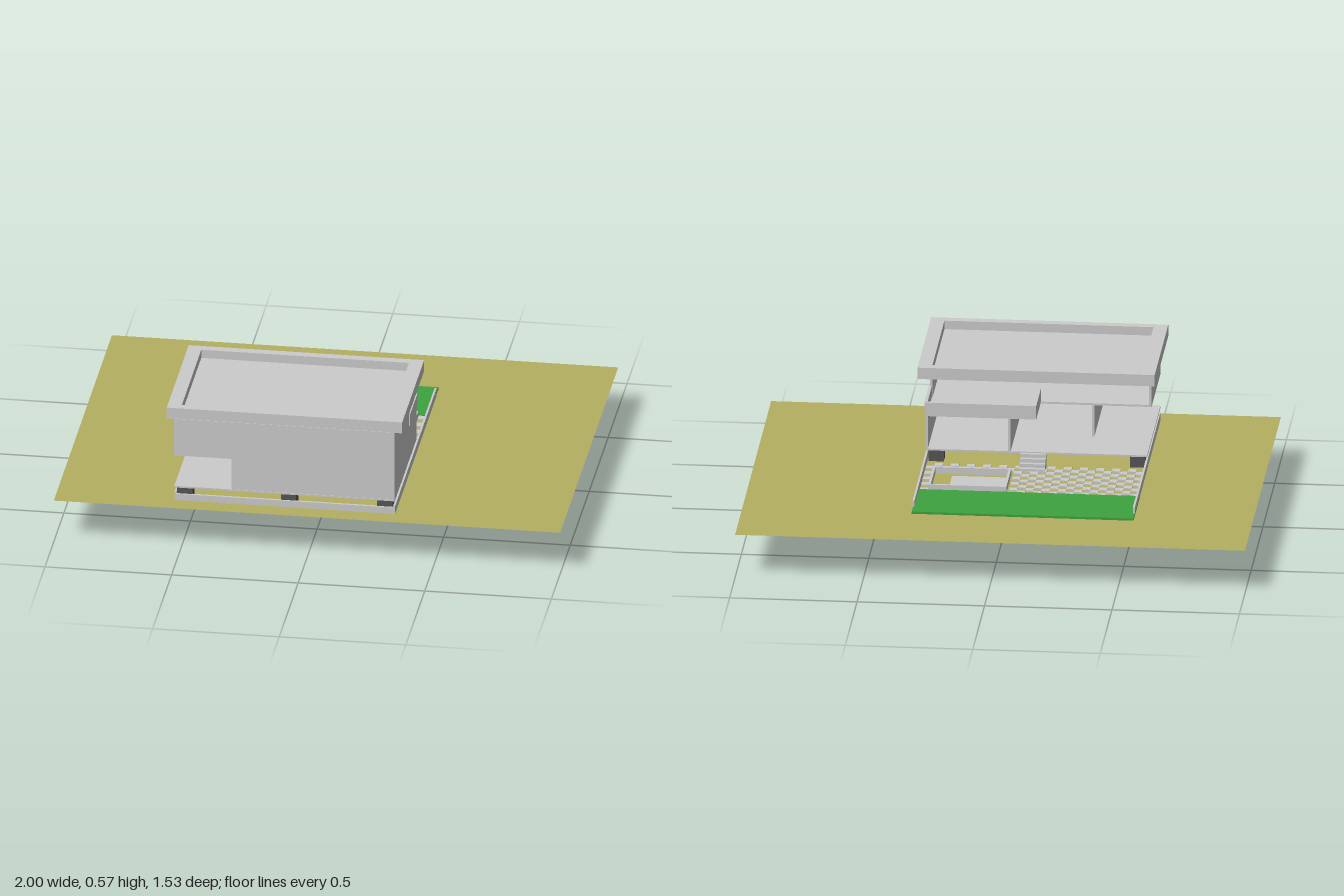
import * as THREE from 'three';
import { mergeGeometries } from 'three/addons/utils/BufferGeometryUtils.js';

const grey = new THREE.MeshStandardMaterial({ color: 0xcccccc });
const dark = new THREE.MeshStandardMaterial({ color: 0x555555 });
const grass = new THREE.MeshStandardMaterial({ color: 0x3fa33f });
const earth = new THREE.MeshStandardMaterial({ color: 0xb5b060, side: THREE.DoubleSide });

// Box geometry from its limits on each axis
function block(x0, x1, y0, y1, z0, z1) {
  return new THREE.BoxGeometry(x1 - x0, y1 - y0, z1 - z0)
    .translate((x0 + x1) / 2, (y0 + y1) / 2, (z0 + z1) / 2);
}

// Rectangular ring of four thin walls
function ring(x0, x1, y0, y1, z0, z1, tx, tz = tx) {
  return [
    block(x0, x1, y0, y1, z0, z0 + tz), block(x0, x1, y0, y1, z1 - tz, z1),
    block(x0, x0 + tx, y0, y1, z0 + tz, z1 - tz), block(x1 - tx, x1, y0, y1, z0 + tz, z1 - tz),
  ];
}

export function createModel() {
  const model = new THREE.Group();
  const add = (name, geometries, material = grey) => {
    const mesh = new THREE.Mesh(mergeGeometries([geometries].flat()), material);
    mesh.name = name;
    model.add(mesh);
  };
  const L = -0.535, R = 0.335, G = 0.178;

  // Site
  add('ground', new THREE.PlaneGeometry(2, 1.535).rotateX(-Math.PI / 2).translate(0, G, 0), earth);
  add('baseSlab', block(L, R, 0.168, 0.176, -0.465, 0.69));
  add('lawn', block(L, R, 0.176, 0.187, -0.465, -0.205), grass);
  add('boundaryWalls', [
    block(L, L + 0.008, 0.17, 0.212, -0.405, 0.69),
    block(R - 0.006, R + 0.002, 0.17, 0.212, -0.405, 0.69),
    block(L, R, 0.17, 0.205, 0.682, 0.692),
  ]);

  // Chequered paving, leaving out the pool
  const tiles = [], nx = 27, nz = 10, w = 0.855 / nx, d = 0.315 / nz;
  for (let i = 0; i < nx; i++) {
    for (let j = 0; j < nz; j++) {
      const x = -0.527 + i * w, z = -0.205 + j * d;
      const inPool = x + w > -0.01 && x < 0.28 && z < 0.01;
      if ((i + j) % 2 === 0 && !inPool) tiles.push(block(x, x + w, G - 0.002, 0.183, z, z + d));
    }
  }
  add('pavingTiles', tiles);

  // Pool
  add('poolPit', block(-0.01, 0.295, 0, 0.17, -0.195, 0.015));
  add('poolRim', ring(-0.012, 0.295, 0.17, 0.205, -0.2, 0.012, 0.01));
  add('poolLedge', block(-0.002, 0.215, G - 0.002, 0.188, -0.192, -0.045));

  // Raised ground floor on short pillars
  const pillars = [];
  for (const x of [-0.495, -0.085, 0.295]) {
    for (const z of [0.655, 0.375, 0.172]) {
      pillars.push(block(x - 0.03, x + 0.03, 0.176, 0.233, z - 0.03, z + 0.03));
    }
  }
  add('pillars', pillars, dark);
  add('groundFloor', block(L, R, 0.232, 0.239, 0.115, 0.692));

  // Entrance steps
  const steps = [];
  for (let i = 0; i < 4; i++) {
    steps.push(block(-0.14, -0.04, G, 0.192 + i * 0.0143, 0.048 + i * 0.017, 0.118));
  }
  add('steps', steps);

  // Lower storey, open to the back
  add('lowerWalls', [
    block(-0.31, R, 0.235, 0.376, 0.68, 0.69),
    block(R - 0.01, R, 0.235, 0.376, 0.115, 0.68),
    block(-0.31, -0.3, 0.235, 0.376, 0.31, 0.68),
    block(0, 0.01, 0.235, 0.376, 0.115, 0.68),
  ]);

  // Upper storey overhanging on the right-hand side
  add('upperFloor', block(L, R, 0.372, 0.38, 0.305, 0.69));
  add('upperWalls', [
    block(L, R, 0.372, 0.53, 0.685, 0.695),
    block(L, L + 0.01, 0.372, 0.53, 0.305, 0.685),
    block(R - 0.01, R, 0.372, 0.53, 0.305, 0.685),
  ]);

  // Balcony tray
  add('balcony', [
    block(-0.1, R, 0.374, 0.384, 0.115, 0.31),
    block(-0.1, R + 0.004, 0.38, 0.43, 0.115, 0.127),
    block(-0.1, -0.088, 0.38, 0.43, 0.127, 0.31),
    block(R - 0.008, R + 0.004, 0.38, 0.43, 0.127, 0.31),
  ]);

  // Flat roof with parapet
  add('roofDeck', block(-0.565, 0.365, 0.528, 0.54, 0.113, 0.693));
  add('roofParapet', ring(-0.565, 0.365, 0.538, 0.575, 0.113, 0.693, 0.055, 0.035));

  return model;
}
